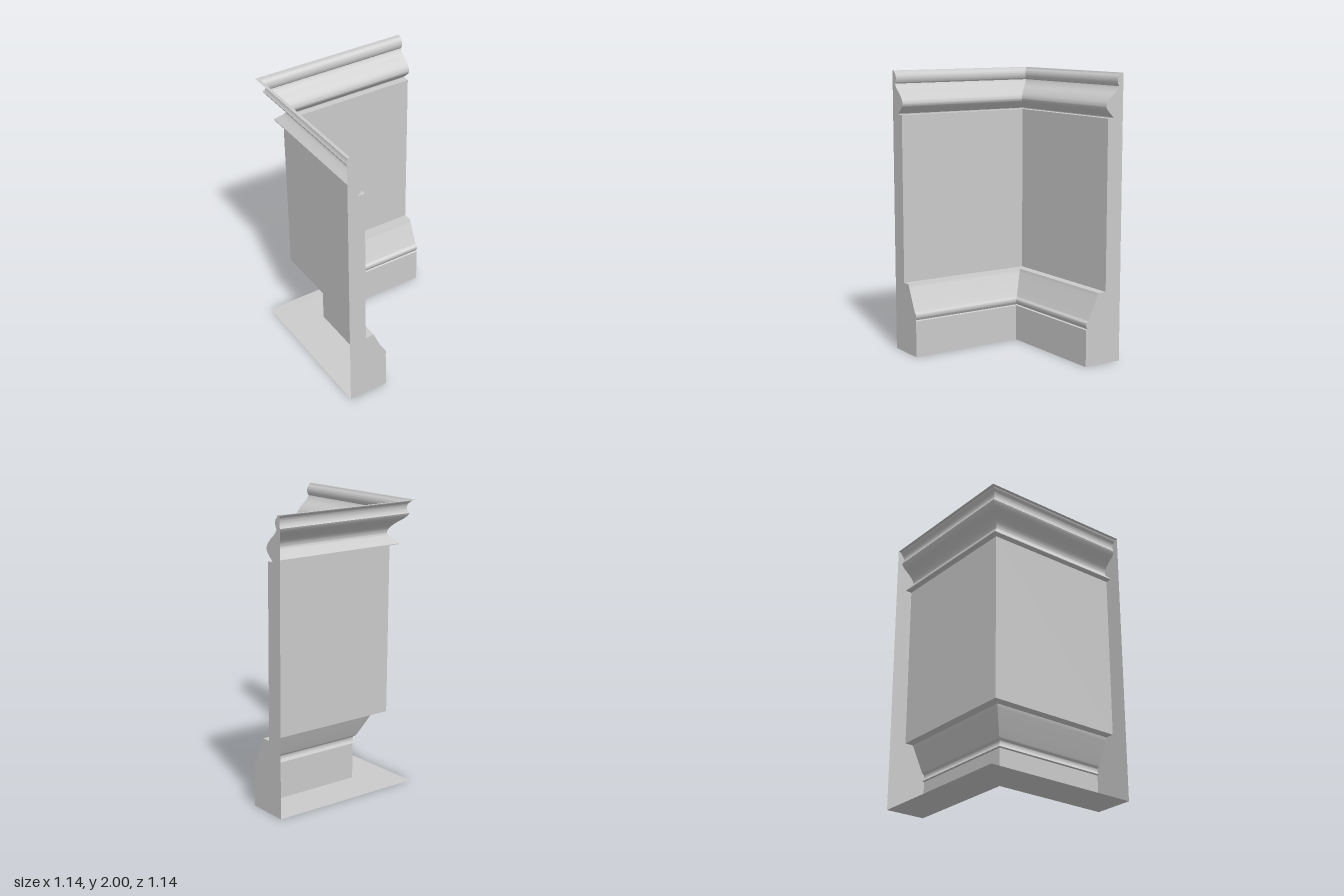
import * as THREE from 'three';
import { toCreasedNormals } from 'three/addons/utils/BufferGeometryUtils.js';

const H = 0.57; // half the footprint
const material = new THREE.MeshStandardMaterial({ color: 0xcccccc, side: THREE.DoubleSide });

// Smooth run through a few profile points [depth from the back, height]
function curve(points, n) {
  const v = points.map(([d, y]) => new THREE.Vector2(d, y));
  return new THREE.SplineCurve(v).getPoints(n).map((p) => [p.x, p.y]);
}

// Profiles, listed from top to bottom
const crown = [
  [0, 2],
  [0.022, 2],
  ...curve([[0.026, 1.99], [0.042, 1.972], [0.048, 1.95], [0.044, 1.925], [0.034, 1.91]], 14),
  ...curve([[0.037, 1.902], [0.058, 1.875], [0.1, 1.84], [0.13, 1.805], [0.14, 1.775], [0.128, 1.75], [0.08, 1.703]], 24),
  [0.08, 1.697],
  [0.126, 1.697],
];
const panel = [[0.126, 1.697], [0.126, 0.508]];
const baseboard = [
  [0.126, 0.508],
  [0.19, 0.508],
  ...curve([[0.192, 0.5], [0.228, 0.42], [0.258, 0.355], [0.275, 0.32]], 10),
  ...curve([[0.28, 0.316], [0.29, 0.308], [0.29, 0.285], [0.278, 0.265]], 8),
  [0.291, 0.26],
  [0.291, 0],
];

// Runs a profile along both walls with a mitre in the corner
function mitredRun(name, profile) {
  const stations = [
    ([d, y]) => [d - H, y, H],
    ([d, y]) => [d - H, y, d - H],
    ([d, y]) => [H, y, d - H],
  ];
  const pos = [];
  for (let s = 0; s < 2; s++) {
    for (let i = 0; i < profile.length - 1; i++) {
      const a = stations[s](profile[i]), b = stations[s](profile[i + 1]);
      const c = stations[s + 1](profile[i]), d = stations[s + 1](profile[i + 1]);
      pos.push(...a, ...b, ...c, ...c, ...b, ...d);
    }
  }
  const g = new THREE.BufferGeometry();
  g.setAttribute('position', new THREE.Float32BufferAttribute(pos, 3));
  return named(name, toCreasedNormals(g, 0.6));
}

function named(name, geometry) {
  const mesh = new THREE.Mesh(geometry, material);
  mesh.name = name;
  return mesh;
}

function flat(points) {
  return new THREE.ShapeGeometry(new THREE.Shape(points.map(([x, y]) => new THREE.Vector2(x, y))));
}

export function createModel() {
  const group = new THREE.Group();
  group.name = 'wallCorner';

  // Moulded faces of the two walls; the back stays open
  group.add(
    mitredRun('crownMoulding', crown),
    mitredRun('wallPanel', panel),
    mitredRun('baseboard', baseboard),
  );

  // Flat ends cut to the full profile
  const outline = [...crown, ...baseboard, [0, 0]]
    .filter((p, i, all) => i === 0 || Math.hypot(p[0] - all[i - 1][0], p[1] - all[i - 1][1]) > 1e-6);
  const frontEnd = named('frontEnd', flat(outline));
  frontEnd.position.set(-H, 0, H);
  const sideEnd = named('sideEnd', flat(outline.map(([d, y]) => [-d, y])));
  sideEnd.rotation.y = Math.PI / 2;
  sideEnd.position.set(H, 0, -H);

  // L-shaped underside
  const inner = 0.291 - H;
  const underside = named('underside', flat([
    [-H, -H], [H, -H], [H, inner], [inner, inner], [inner, H], [-H, H],
  ]));
  underside.rotation.x = Math.PI / 2;

  group.add(frontEnd, sideEnd, underside);
  return group;
}
